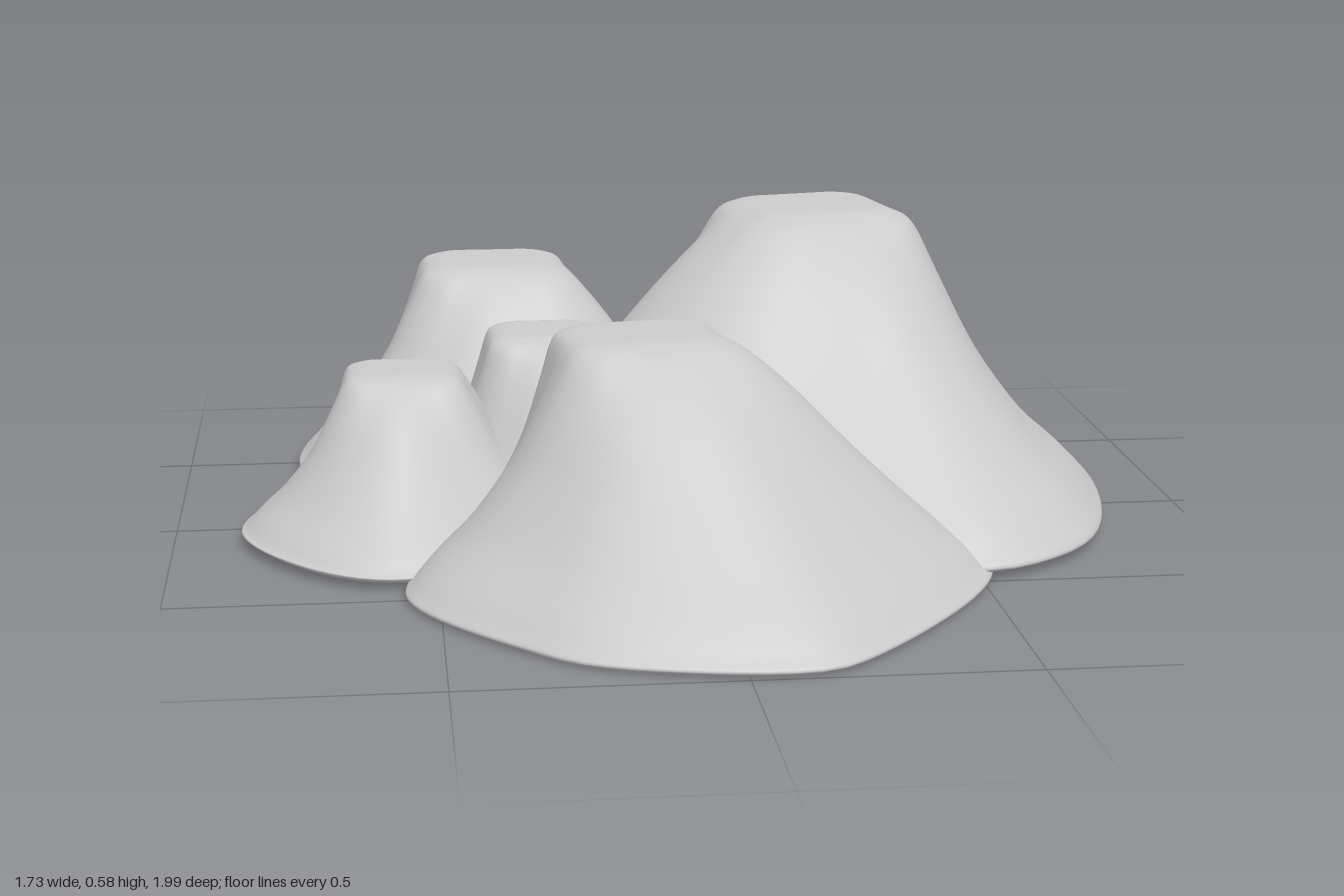
import * as THREE from 'three';

const SIDES = 96;
const ROWS = 40;

// Slope profile: height share, outward share on a short slope, outward share on a long slope
const SLOPE = [
  [0.06, 0.95, 0.965], [0.14, 0.83, 0.89], [0.29, 0.58, 0.73], [0.52, 0.32, 0.5], [0.78, 0.13, 0.25], [0.94, 0.02, 0.06],
];

// Corners of the small plateau: a rectangle turned by a twist
function plateau(cx, cz, halfX, halfZ, twist) {
  const c = Math.cos(twist), s = Math.sin(twist);
  return [[-1, -1], [1, -1], [1, 1], [-1, 1]].map(([i, k]) =>
    [cx + i * halfX * c - k * halfZ * s, cz + i * halfX * s + k * halfZ * c]);
}

// Distance from the centre to a closed polygon, for every direction
function radii(points, cx, cz) {
  return Array.from({ length: SIDES }, (_, i) => {
    const a = (i / SIDES) * Math.PI * 2, dx = Math.cos(a), dz = Math.sin(a);
    let best = 0;
    points.forEach(([px, pz], j) => {
      const [qx, qz] = points[(j + 1) % points.length];
      const ex = qx - px, ez = qz - pz, det = ex * dz - ez * dx;
      if (Math.abs(det) < 1e-9) return;
      const r = (ex * (pz - cz) - ez * (px - cx)) / det;
      const s = (dx * (pz - cz) - dz * (px - cx)) / det;
      if (r > 0 && s >= -1e-6 && s <= 1 + 1e-6) best = Math.max(best, r);
    });
    return best;
  });
}

// Moving average around the ring, to round off corners
function soften(list, reach) {
  return list.map((_, i) => {
    let sum = 0;
    for (let k = -reach; k <= reach; k++) sum += list[(i + k + SIDES) % SIDES];
    return sum / (2 * reach + 1);
  });
}

// Loft from a base outline of [x, z] points up to the plateau; the slope swells around one direction
function moundGeometry(h, y0, [cx, cz, halfX, halfZ, twist], [swellAngle, swell], base) {
  const curve = new THREE.CatmullRomCurve3(base.map(([x, z]) => new THREE.Vector3(x, 0, z)), true);
  const baseR = radii(curve.getPoints(200).map(p => [p.x, p.z]), cx, cz);
  const topR = soften(radii(plateau(cx, cz, halfX, halfZ, twist), cx, cz), 4);
  const fullness = soften(baseR.map((r, i) => {
    const facing = Math.max(0, Math.cos((i / SIDES) * Math.PI * 2 - swellAngle));
    return THREE.MathUtils.clamp(((r - topR[i]) / h - 0.66) / 0.45, 0, 1) + swell * facing ** 3;
  }), 4);

  const columns = baseR.map((r, i) => {
    const path = [[r - 0.015, y0], [r, y0 + 0.01]];
    for (const [y, near, far] of SLOPE) {
      const out = THREE.MathUtils.lerp(near, far, fullness[i]);
      path.push([topR[i] + (r - topR[i]) * out, y0 + (h - y0) * y]);
    }
    path.push([topR[i] * 0.86, h * 0.985], [topR[i] * 0.6, h], [0, h]);
    return new THREE.SplineCurve(path.map(p => new THREE.Vector2(...p))).getPoints(ROWS);
  });

  const pos = [], index = [];
  const put = (i, r, y) => {
    const a = (i / SIDES) * Math.PI * 2;
    pos.push(cx + Math.cos(a) * r, y, cz + Math.sin(a) * r);
  };

  // Slope rings, closed by one point in the middle of the plateau
  for (let j = 0; j < ROWS; j++) columns.forEach((c, i) => put(i, c[j].x, c[j].y));
  const apex = pos.length / 3;
  pos.push(cx, h, cz);
  for (let j = 0; j < ROWS; j++) {
    for (let i = 0; i < SIDES; i++) {
      const a = j * SIDES + i, b = j * SIDES + ((i + 1) % SIDES);
      if (j === ROWS - 1) index.push(a, apex, b);
      else index.push(a, a + SIDES, b, b, a + SIDES, b + SIDES);
    }
  }

  // Flat underside with its own vertices for a sharp edge
  const under = pos.length / 3;
  columns.forEach((c, i) => put(i, c[0].x, y0));
  pos.push(cx, y0, cz);
  for (let i = 0; i < SIDES; i++) index.push(under + i, under + ((i + 1) % SIDES), under + SIDES);

  const geometry = new THREE.BufferGeometry();
  geometry.setAttribute('position', new THREE.Float32BufferAttribute(pos, 3));
  geometry.setIndex(index);
  geometry.computeVertexNormals();
  return geometry;
}

export function createModel() {
  const group = new THREE.Group();
  group.name = 'moundCluster';
  const material = new THREE.MeshStandardMaterial({ color: 0xcccccc });

  // height, underside level, plateau [x, z, half width, half depth, twist], swell [angle, amount], base outline
  const addMound = (name, h, y0, top, swell, base) => {
    const mesh = new THREE.Mesh(moundGeometry(h, y0, top, swell, base), material);
    mesh.name = name;
    group.add(mesh);
  };

  addMound('largeMound', 0.58, 0.012, [0.3, -0.29, 0.165, 0.17, -0.2], [2.5, 1],
    [[0.08, -0.74], [0.46, -0.86], [0.57, -0.86], [0.74, -0.69], [0.86, -0.2], [0.77, 0.28],
      [0.64, 0.44], [0.49, 0.5], [-0.15, 0.27], [-0.38, -0.1], [-0.25, -0.52]]);

  addMound('frontMound', 0.445, 0, [-0.11, 0.305, 0.15, 0.14, -0.14], [0, 0],
    [[0.53, 0.42], [0.22, 0.93], [0.11, 0.995], [-0.24, 0.93], [-0.36, 0.83],
      [-0.56, 0.52], [-0.47, 0.18], [-0.34, -0.17], [-0.16, -0.17], [0.3, 0.14]]);

  addMound('backMound', 0.42, 0.015, [-0.35, -0.595, 0.145, 0.14, 0], [1.1, 0.8],
    [[0.08, -0.745], [-0.15, -0.91], [-0.42, -0.995], [-0.62, -0.92], [-0.77, -0.43],
      [-0.72, -0.27], [-0.4, -0.08], [0.12, -0.35]]);

  addMound('sideMound', 0.312, 0.012, [-0.555, -0.03, 0.105, 0.105, 0], [0, 0.9],
    [[-0.73, -0.27], [-0.87, 0.1], [-0.7, 0.39], [-0.55, 0.44], [-0.28, 0.2], [-0.32, -0.28], [-0.6, -0.41]]);

  addMound('smallMound', 0.36, 0.015, [-0.27, -0.14, 0.105, 0.11, 0], [1.5, 0.5],
    [[-0.43, -0.46], [0, -0.42], [0.06, 0.1], [-0.25, 0.31], [-0.54, 0.02]]);

  return group;
}
